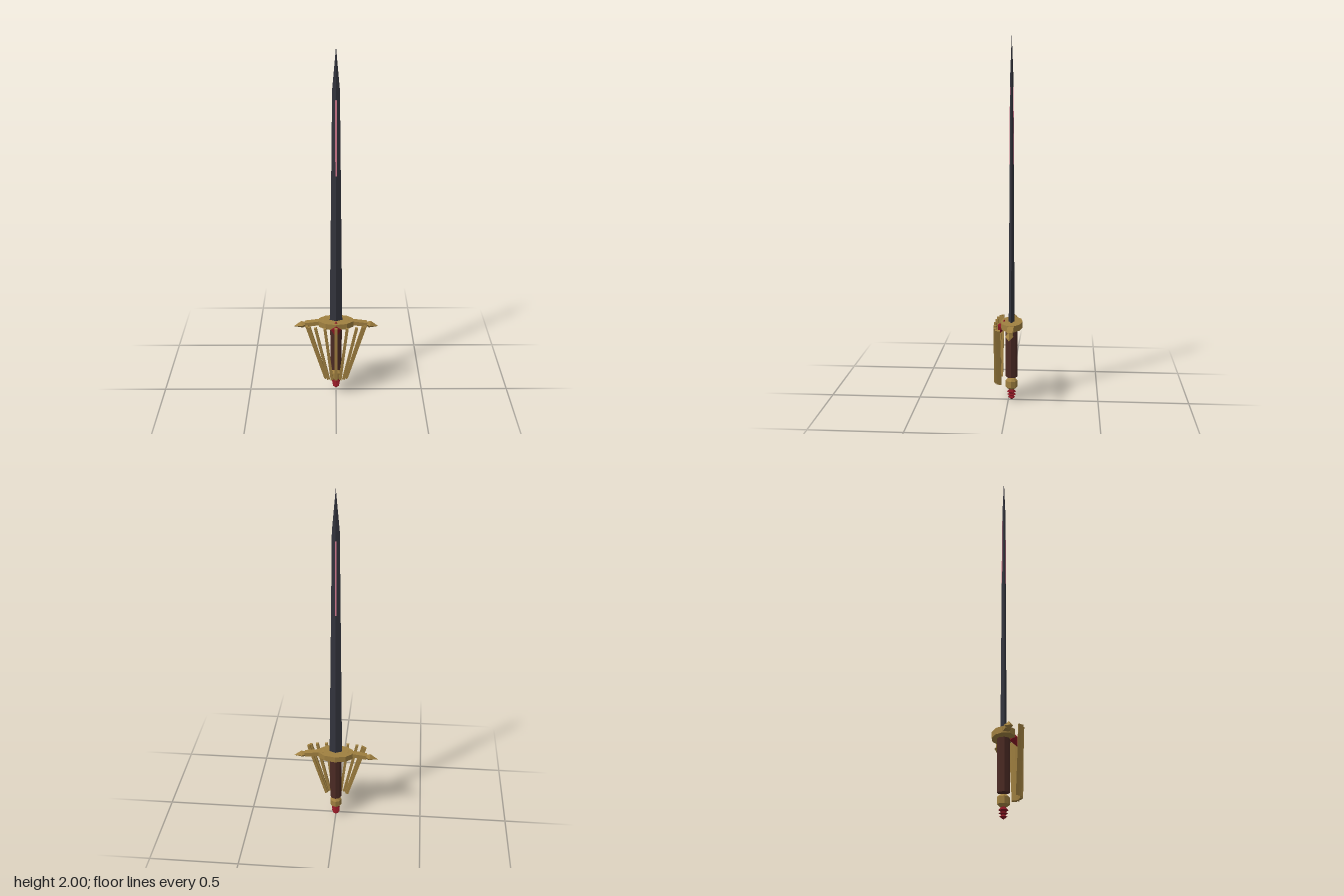
import * as THREE from 'three';

const AXIS_Z = -0.018; // blade, grip and pommel share this depth

function material(name, color) {
  const m = new THREE.MeshStandardMaterial({ color, flatShading: true });
  m.name = name;
  return m;
}

export function createModel() {
  const steel = material('dark steel', 0x33343d);
  const gold = material('old gold', 0xa08040);
  const leather = material('brown leather', 0x4c2b24);
  const red = material('deep red', 0x861622);
  const pink = material('pink inlay', 0xd87c92);

  const root = new THREE.Group();
  root.name = 'sword';

  function add(name, geometry, mat, x, y, z, parent = root) {
    const mesh = new THREE.Mesh(geometry, mat);
    mesh.name = name;
    mesh.position.set(x, y, z);
    parent.add(mesh);
    return mesh;
  }

  // Blade: diamond section, narrowing to a shoulder and then a point
  const flat = 0.45;
  const blade = (r0, r1, y0, y1) =>
    new THREE.CylinderGeometry(r1, r0, y1 - y0, 4).scale(1, 1, flat).translate(0, (y0 + y1) / 2, 0);
  add('blade', blade(0.036, 0.02, 0.42, 1.78), steel, 0, 0, AXIS_Z);
  add('bladeTip', blade(0.02, 0.0002, 1.78, 2), steel, 0, 0, AXIS_Z);

  // Thin inlay following the ridge on both faces
  const ridge = (y) => flat * THREE.MathUtils.lerp(0.036, 0.02, (y - 0.42) / 1.36) + 0.0005;
  const inlay = new THREE.BoxGeometry(0.008, 0.41, 2);
  const p = inlay.attributes.position;
  for (let i = 0; i < p.count; i++) p.setZ(i, p.getZ(i) * ridge(1.525 + p.getY(i)));
  add('bladeInlay', inlay, pink, 0, 1.525, AXIS_Z);

  // Guard plate
  add('guardPlate', new THREE.CylinderGeometry(0.103, 0.103, 0.034, 10).scale(1, 1, 0.592), gold, 0, 0.435, AXIS_Z);

  // Drooping cross arms with pointed ends
  for (const side of [1, -1]) {
    const arm = add('crossArm', new THREE.BoxGeometry(0.11, 0.024, 0.033), gold, side * 0.122, 0.434, AXIS_Z);
    arm.rotation.z = -side * 0.13;
    const tip = add('crossArmTip', new THREE.OctahedronGeometry(1).scale(0.049, 0.022, 0.022), gold, side * 0.193, 0.423, AXIS_Z);
    tip.rotation.z = -side * 0.24;
  }

  // Fan of hand guard bars on a half ellipse, converging downwards
  const cage = new THREE.Group();
  cage.name = 'handGuard';
  root.add(cage);
  for (let i = -4; i <= 4; i++) {
    const a = (i * Math.PI) / 8;
    const xTop = 0.164 * Math.sin(a);
    const xBottom = 0.061 * Math.sin(a);
    const z = 0.042 + 0.0295 * Math.cos(a);
    const length = Math.hypot(xTop - xBottom, 0.335);
    const bar = add('handGuardBar', new THREE.BoxGeometry(0.0155, length, 0.0155), gold, (xTop + xBottom) / 2, 0.277, z, cage);
    bar.rotation.z = -Math.atan2(xTop - xBottom, 0.335);
  }

  // Gem leaning back through the guard plate
  const gem = add('guardGem', new THREE.OctahedronGeometry(1).scale(0.031, 0.046, 0.025), red, 0, 0.42, 0.036);
  gem.rotation.x = -0.4;

  // Grip
  add('grip', new THREE.CylinderGeometry(0.033, 0.033, 0.285, 8), leather, 0, 0.2775, AXIS_Z);

  // Pommel and its ridged finial, bottom to top
  const lathe = (points, sides) =>
    new THREE.LatheGeometry(points.map(([r, y]) => new THREE.Vector2(r, y)), sides);
  add('pommel', lathe([[0, 0.062], [0.02, 0.064], [0.033, 0.076], [0.033, 0.112], [0.02, 0.125], [0, 0.128]], 8), gold, 0, 0, AXIS_Z);
  add('finial', lathe([[0, 0], [0.02, 0.015], [0.01, 0.023], [0.025, 0.031], [0.012, 0.038], [0.026, 0.047], [0.01, 0.064], [0, 0.064]], 6), red, 0, 0, AXIS_Z);

  return root;
}
